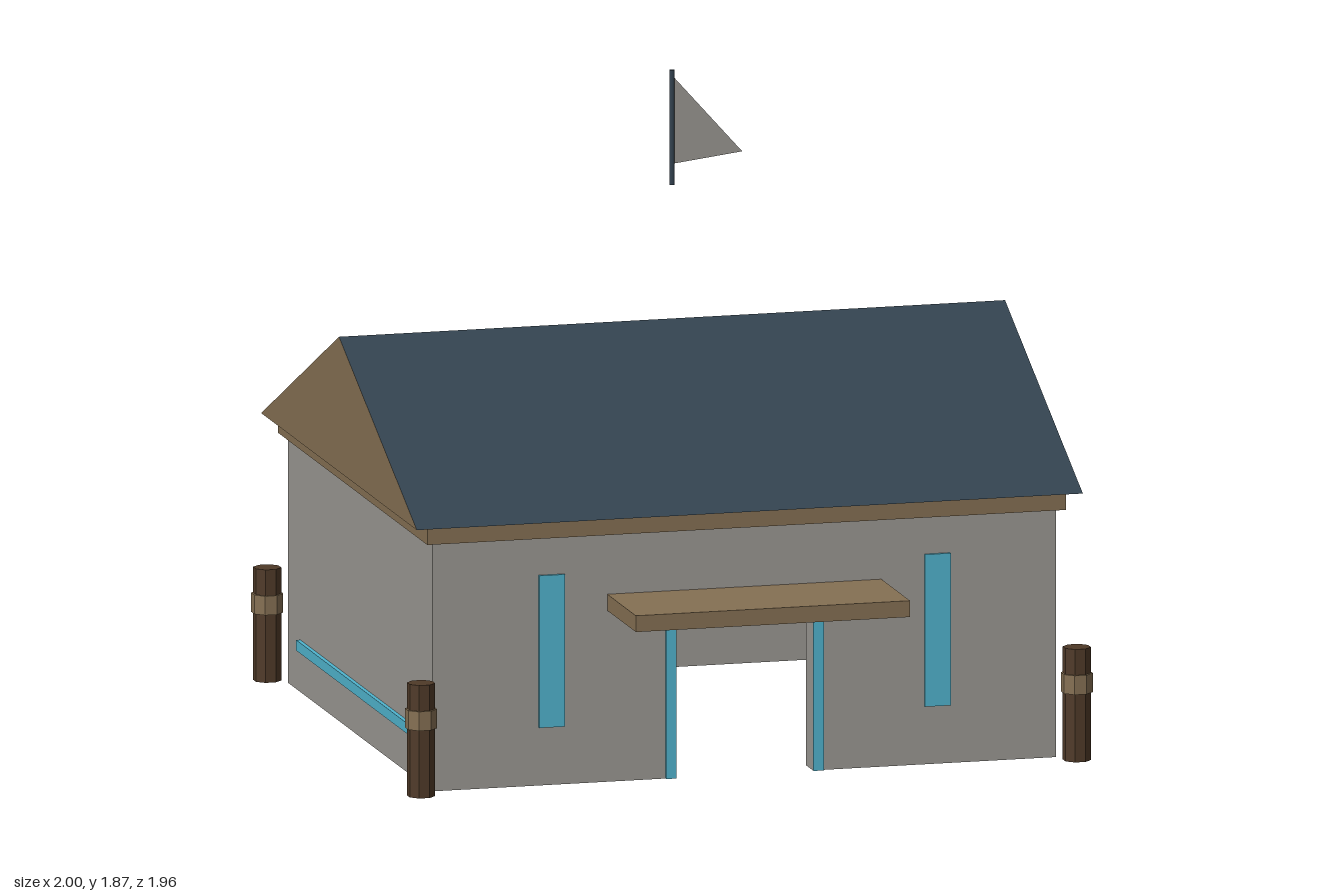
import * as THREE from 'three';

const mat = (name, color) => Object.assign(new THREE.MeshStandardMaterial({ color }), { name });

export function createModel() {
  const wall = mat('wall grey', 0x9a9792);
  const wood = mat('light wood', 0x857053);
  const bark = mat('dark wood', 0x4f3a28);
  const slate = mat('roof slate', 0x32424f);
  const blue = mat('accent blue', 0x50b4ce);
  const cloth = mat('flag grey', 0x9a9792);
  cloth.side = THREE.DoubleSide;
  bark.flatShading = wood.flatShading = true;

  const model = new THREE.Group();
  model.name = 'cabin';
  const add = (name, geo, material, x = 0, y = 0, z = 0) => {
    const m = new THREE.Mesh(geo, material);
    m.name = name;
    m.position.set(x, y, z);
    model.add(m);
    return m;
  };
  const box = (name, material, w, h, d, x, y, z) =>
    add(name, new THREE.BoxGeometry(w, h, d), material, x, y, z);
  const polygon = (pts) => new THREE.Shape(pts.map(([a, b]) => new THREE.Vector2(a, b)));

  const CZ = -0.112;   // ridge line and centre of the house
  const W = 0.91, D = 0.78, H = 0.715, T = 0.075;
  const front = CZ + D;

  // Hollow walls, with a doorway cut from the front
  box('backWall', wall, W * 2, H, T, 0, H / 2, CZ - D + T / 2);
  for (const s of [-1, 1]) {
    box('sideWall', wall, T, H, (D - T) * 2, s * (W - T / 2), H / 2, CZ);
  }
  const doorX = 0.2, doorY = 0.433;
  const frontShape = polygon([
    [-W, 0], [-doorX, 0], [-doorX, doorY], [doorX, doorY],
    [doorX, 0], [W, 0], [W, H], [-W, H],
  ]);
  add('frontWall', new THREE.ExtrudeGeometry(frontShape, { depth: T, bevelEnabled: false }), wall, 0, 0, front - T);

  // Door frame
  const fx = 0.23, fy = 0.457;
  const frame = polygon([
    [-fx, 0], [-doorX, 0], [-doorX, doorY], [doorX, doorY],
    [doorX, 0], [fx, 0], [fx, fy], [-fx, fy],
  ]);
  add('doorFrame', new THREE.ExtrudeGeometry(frame, { depth: 0.008, bevelEnabled: false }), blue, 0, 0, front);

  // Narrow windows and side stripes
  for (const s of [-1, 1]) {
    box('window', blue, 0.075, 0.438, 0.008, s * 0.563, 0.386, front + 0.004);
    box('sideStripe', blue, 0.012, 0.03, 1.296, s * (W + 0.006), 0.135, CZ);
  }

  // Canopy over the door
  box('canopy', wood, 0.8, 0.047, 0.31, 0, 0.516, front + 0.154);

  // Eaves slab, which is also the ceiling
  box('eaves', wood, 1.864, 0.052, 1.61, 0, 0.741, CZ);

  // Gabled roof: wooden ends, slate slopes
  const gable = polygon([[-0.84, 0], [0.84, 0], [0, 0.388]]);
  const roofGeo = new THREE.ExtrudeGeometry(gable, { depth: 1.944, bevelEnabled: false });
  roofGeo.translate(0, 0, -0.972).rotateY(-Math.PI / 2);
  add('roof', roofGeo, [wood, slate], 0, 0.767, CZ);

  // Corner posts with a band
  const octagon = (r, h) => new THREE.CylinderGeometry(r, r, h, 8).rotateY(Math.PI / 8);
  for (const x of [-0.957, 0.957]) {
    for (const z of [CZ - 0.83, CZ + 0.83]) {
      add('post', octagon(0.04, 0.325), bark, x, 0.1625, z);
      add('postBand', octagon(0.0455, 0.055), wood, x, 0.223, z);
    }
  }

  // Pennant on its pole, floating above the ridge
  add('flagPole', new THREE.CylinderGeometry(0.008, 0.008, 0.33, 8), slate, 0, 1.705, CZ);
  add('flag', new THREE.ShapeGeometry(polygon([[0, 1.6], [0.205, 1.625], [0, 1.855]])), cloth, 0, 0, CZ);

  return model;
}
